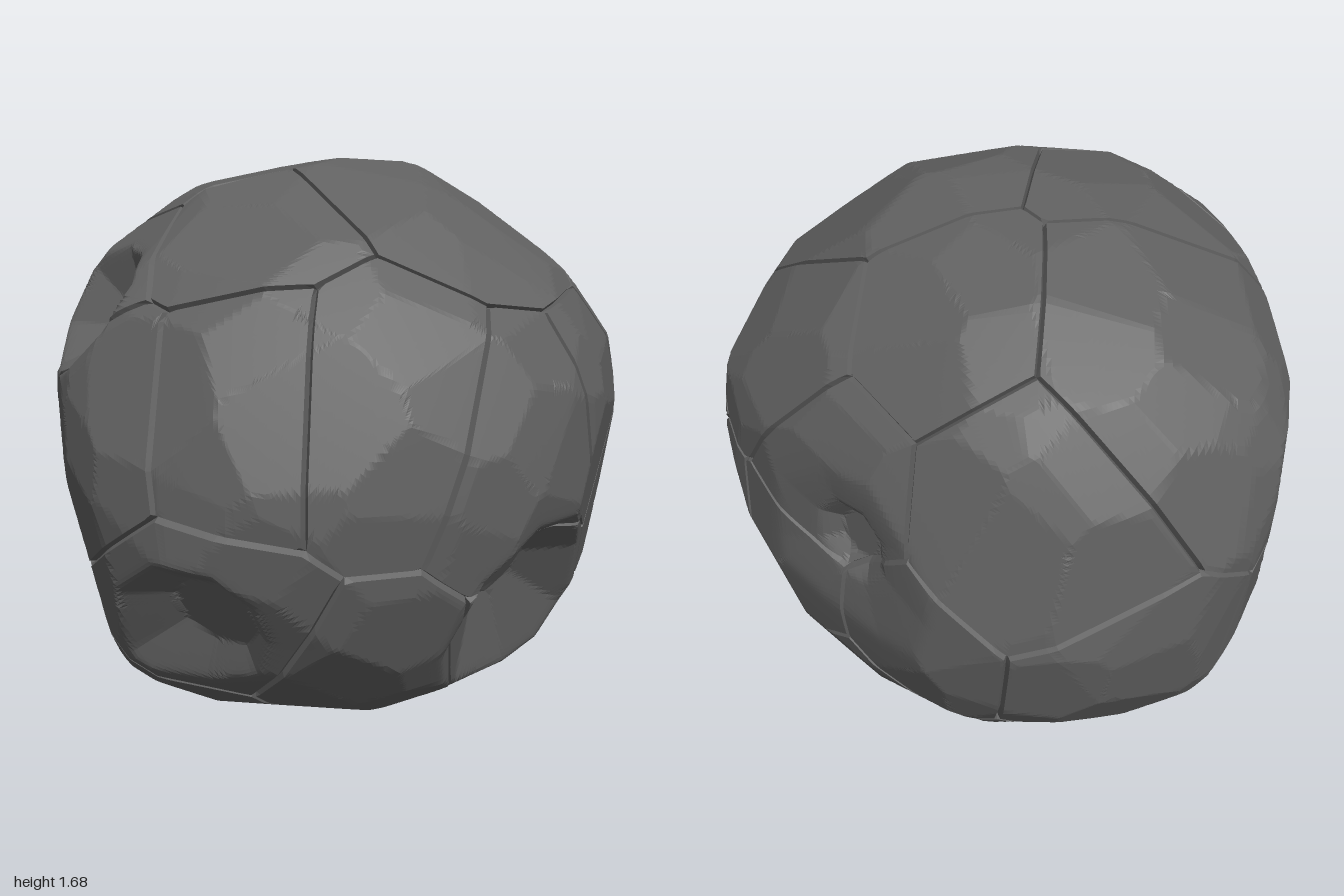
import * as THREE from 'three';

const V = (a) => new THREE.Vector3(...a);
const MID = 0.85; // height of the rock's centre

// Outlines of the rock in the three main planes
const outlineXY = [[-0.08, 1.69], [0.09, 1.675], [0.28, 1.63], [0.48, 1.5], [0.63, 1.36], [0.8, 1.17], [0.84, 1.02],
  [0.82, 0.75], [0.73, 0.38], [0.57, 0.17], [0.43, 0.11], [0.25, 0.03], [-0.05, 0], [-0.35, 0.02], [-0.58, 0.1],
  [-0.67, 0.22], [-0.74, 0.48], [-0.78, 0.66], [-0.83, 0.95], [-0.84, 1.25], [-0.7, 1.46], [-0.38, 1.64]];
const outlineZY = [[0, 1.69], [0.28, 1.65], [0.55, 1.51], [0.69, 1.38], [0.83, 1.26], [0.92, 1.04], [1, 0.82],
  [1, 0.65], [0.96, 0.49], [0.84, 0.27], [0.6, 0.09], [0.35, 0.02], [-0.1, 0], [-0.5, 0.09], [-0.72, 0.18],
  [-0.9, 0.37], [-1, 0.7], [-0.95, 0.96], [-0.88, 1.2], [-0.78, 1.36], [-0.65, 1.47], [-0.4, 1.61]];
const outlineXZ = [[-0.13, -1], [0.05, -0.97], [0.25, -0.87], [0.46, -0.72], [0.6, -0.57], [0.7, -0.42], [0.79, -0.27],
  [0.84, -0.12], [0.79, 0.2], [0.76, 0.44], [0.66, 0.62], [0.53, 0.77], [0.33, 0.88], [0, 0.99], [-0.14, 1],
  [-0.32, 0.98], [-0.55, 0.9], [-0.75, 0.67], [-0.79, 0.45], [-0.84, 0.05], [-0.84, -0.2], [-0.83, -0.45],
  [-0.75, -0.73], [-0.67, -0.82], [-0.53, -0.9], [-0.35, -0.94]];

// Rough middle of each cracked plate, with an optional weight that widens or narrows it
const plateCentres = [
  [0.3, 1.5, 0.18, 1.04], [-0.25, 1.42, 0.58, 0.97], [-0.5, 1.5, 0.05, 0.98], [-0.52, 1.3, -0.5, 1.05],
  [-0.69, 1.25, 0.48], [-0.17, 1.0, 0.95], [0.2, 1.0, 0.92], [-0.55, 0.93, 0.74], [-0.28, 0.42, 0.87],
  [0.15, 0.2, 0.75], [0.58, 0.82, 0.65], [0.82, 0.92, 0.22], [0.8, 0.58, -0.12], [0.62, 1.25, -0.28],
  [0.53, 1.03, -0.62], [0.64, 0.6, -0.5], [0.3, 0.55, -0.85], [0.6, 0.2, -0.1], [0.4, 0.2, -0.55],
  [0.6, 0.3, 0.5], [0.22, 1.5, -0.55, 0.96], [-0.08, 1.05, -0.95], [-0.83, 0.9, 0.12], [-0.75, 0.5, 0.25],
  [-0.7, 0.5, -0.4], [-0.3, 0.5, -0.9], [0.05, 0, 0.1], [-0.45, 0.08, 0.4], [-0.4, 0.1, -0.3], [0, 0.08, -0.55],
];

// Craters: centre, rim radius, floor radius, depth
const craterSpecs = [
  [[-0.26, 0.43, 0.87], 0.2, 0.12, 0.05], [[0.62, 0.4, 0.54], 0.31, 0.1, 0.13],
  [[-0.66, 1.27, 0.55], 0.22, 0.08, 0.11], [[-0.82, 0.87, 0.05], 0.27, 0.12, 0.05],
  [[0.48, 0.87, -0.74], 0.22, 0.14, 0.008], [[0.48, 0.87, -0.74], 0.15, 0.07, 0.075],
];

// Facet planes: normals spread over a sphere, each touching the outlines
function makePlanes(count) {
  let seed = 7;
  const rand = () => (seed = (seed * 16807) % 2147483647) / 2147483647;
  const reach = (pts, a, b, dy) => Math.max(...pts.map(([p, q]) => p * a + (q - dy) * b));
  const support = ({ x, y, z }) => {
    const sq = (pts, a, b, dy) => reach(pts, a, b, dy) ** 2;
    const pairs = sq(outlineXY, x, y, MID) + sq(outlineZY, z, y, MID) + sq(outlineXZ, x, z, 0);
    const axes = sq(outlineXY, x, 0, MID) + sq(outlineXY, 0, y, MID) + sq(outlineXZ, 0, z, 0);
    return Math.sqrt(pairs - axes);
  };
  const normals = [[1, 0, 0], [-1, 0, 0], [0, 1, 0], [0, -1, 0], [0, 0, 1], [0, 0, -1]].map(V);
  for (let i = 0; i < count; i++) {
    const y = 1 - (2 * i + 1) / count, r = Math.sqrt(1 - y * y), a = i * 2.39996;
    const n = V([r * Math.cos(a), y, r * Math.sin(a)]);
    normals.push(n.add(V([rand() - 0.5, rand() - 0.5, rand() - 0.5]).multiplyScalar(0.18)).normalize());
  }
  return normals.map((n, i) => ({ n, h: support(n) * (i < 6 ? 1 : 0.988) }));
}

// Two axes across a direction, forming a right-handed set with it
function crossAxes(n) {
  const e1 = new THREE.Vector3(Math.abs(n.y) > 0.9 ? 1 : 0, Math.abs(n.y) > 0.9 ? 0 : 1, 0).cross(n).normalize();
  return [e1, n.clone().cross(e1)];
}

function makeSurface() {
  const planes = makePlanes(185);
  const faceted = (dir) => {
    let r = Infinity;
    for (const { n, h } of planes) {
      const d = n.dot(dir);
      if (d > 0.3) r = Math.min(r, h / d);
    }
    return dir.clone().multiplyScalar(r);
  };
  const craters = craterSpecs.map(([c, R, floor, depth]) => {
    const p = faceted(V([c[0], c[1] - MID, c[2]]).normalize());
    const n = new THREE.Vector3(p.x / 0.71, p.y / 0.71, p.z).normalize();
    const [e1, e2] = crossAxes(n);
    return { p, n, e1, e2, R, floor, depth, rim: p.dot(n) - R * R / 1.75 };
  });
  // Surface point along a direction, with eight-sided cups pressed in
  return (dir) => {
    const p = faceted(dir);
    for (const c of craters) {
      const q = p.clone().sub(c.p);
      const u = q.dot(c.e1), v = q.dot(c.e2);
      let d = 0;
      for (let k = 0; k < 8; k++) d = Math.max(d, u * Math.cos(k * Math.PI / 4) + v * Math.sin(k * Math.PI / 4));
      const cup = c.rim - c.depth * Math.min(1, (c.R - d) / (c.R - c.floor));
      const over = p.dot(c.n) - cup;
      // slightly rounded rim
      p.addScaledVector(c.n, -(over + Math.hypot(over, 0.01)) / 2);
    }
    return p;
  };
}

// Corners of one plate on the tangent plane: each neighbour trims a square
function plateOutline(s, seed, seeds, e1, e2) {
  let poly = [[-3, -3], [3, -3], [3, 3], [-3, 3]];
  for (const t of seeds) {
    if (t === seed) continue;
    const m = seed.clone().sub(t);
    const side = ([u, v]) => m.dot(s) + u * m.dot(e1) + v * m.dot(e2);
    const next = [];
    poly.forEach((a, i) => {
      const b = poly[(i + 1) % poly.length], fa = side(a), fb = side(b);
      if (fa >= 0) next.push(a);
      if (fa >= 0 !== fb >= 0) {
        const k = fa / (fa - fb);
        next.push([a[0] + (b[0] - a[0]) * k, a[1] + (b[1] - a[1]) * k]);
      }
    });
    poly = next;
  }
  return poly;
}

// One plate: rings from its middle to its rim, then down into the crack
function plateGeometry(seed, seeds, surface) {
  const ROWS = 24, HALF_CRACK = 0.01, CRACK_DEPTH = 0.02;
  const s = seed.clone().normalize();
  const [e1, e2] = crossAxes(s);
  const toDir = ([u, v]) => s.clone().addScaledVector(e1, u).addScaledVector(e2, v).normalize();
  const poly = plateOutline(s, seed, seeds, e1, e2);
  const border = [];
  poly.forEach((a, i) => {
    const b = poly[(i + 1) % poly.length];
    const da = toDir(a), db = toDir(b);
    const steps = Math.ceil(da.angleTo(db) / 0.03);
    const gap = Math.abs(a[0] * b[1] - a[1] * b[0]) / (Math.hypot(b[0] - a[0], b[1] - a[1]) || 1);
    for (let k = 0; k < steps; k++) {
      const d = da.clone().lerp(db, k / steps).normalize();
      const f = 1 / d.dot(s);
      border.push({ d, u: d.dot(e1) * f, v: d.dot(e2) * f, inset: 1 - HALF_CRACK / Math.max(gap, 0.1) });
    }
  });
  const pos = [], index = [], n = border.length;
  for (let j = 0; j <= ROWS + 1; j++) {
    for (const { d, u, v, inset } of border) {
      const k = (j / ROWS) ** 0.75 * inset;
      const p = j > ROWS ? surface(d) : surface(toDir([u * k, v * k]));
      if (j > ROWS) p.addScaledVector(d, -CRACK_DEPTH);
      pos.push(p.x, p.y + MID, p.z);
    }
  }
  for (let j = 0; j <= ROWS; j++) {
    for (let i = 0; i < n; i++) {
      const a = j * n + i, b = j * n + (i + 1) % n;
      if (j > 0) index.push(a, b + n, b);
      index.push(a, a + n, b + n);
    }
  }
  const g = new THREE.BufferGeometry();
  g.setAttribute('position', new THREE.Float32BufferAttribute(pos, 3));
  g.setIndex(index);
  const flat = g.toNonIndexed();
  flat.computeVertexNormals();
  return flat;
}

export function createModel() {
  const group = new THREE.Group();
  group.name = 'crackedRock';
  const stone = new THREE.MeshStandardMaterial({ color: 0x606060, flatShading: true });
  const surface = makeSurface();
  const seeds = plateCentres.map(([x, y, z, weight = 1]) => V([x, y - MID, z]).setLength(weight));
  seeds.forEach((seed, i) => {
    const plate = new THREE.Mesh(plateGeometry(seed, seeds, surface), stone);
    plate.name = `rockPlate${i + 1}`;
    group.add(plate);
  });
  return group;
}
